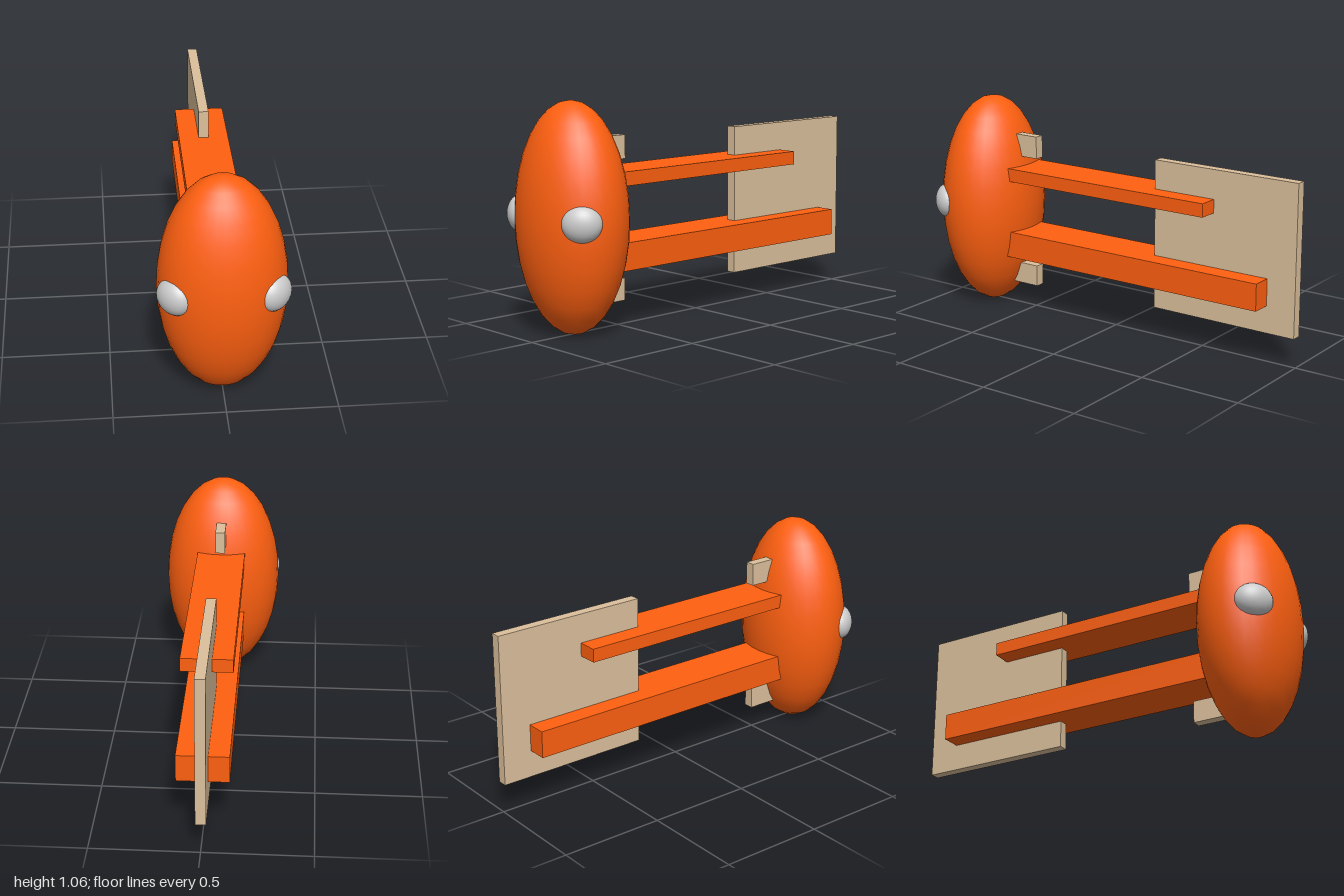
import * as THREE from 'three';

export function createModel() {
  const model = new THREE.Group();
  const orange = new THREE.MeshStandardMaterial({ color: 0xff6010 });
  const tan = new THREE.MeshStandardMaterial({ color: 0xdcc09c });
  const grey = new THREE.MeshStandardMaterial({ color: 0xcccccc });

  function add(name, geometry, material) {
    const mesh = new THREE.Mesh(geometry, material);
    mesh.name = name;
    model.add(mesh);
    return mesh;
  }

  // Box centred on x, given its width and its y and z ranges
  function slab(name, material, width, y0, y1, z0, z1) {
    add(name, new THREE.BoxGeometry(width, y1 - y0, z1 - z0), material)
      .position.set(0, (y0 + y1) / 2, (z0 + z1) / 2);
  }

  // Egg-shaped head
  const head = add('head', new THREE.SphereGeometry(1, 32, 16), orange);
  head.scale.set(0.29, 0.53, 0.235);
  head.position.set(0, 0.535, 0.765);

  // Flattened eyes lying against the head, turned outwards
  for (const side of [1, -1]) {
    const eye = add(side > 0 ? 'leftEye' : 'rightEye', new THREE.SphereGeometry(1, 32, 16), grey);
    eye.scale.set(0.09, 0.084, 0.062);
    eye.position.set(side * 0.217, 0.547, 0.886);
    eye.rotation.y = side * Math.PI / 4;
  }

  // Two beams running back from the head
  slab('upperBeam', orange, 0.24, 0.67, 0.735, -0.565, 0.7);
  slab('lowerBeam', orange, 0.24, 0.28, 0.41, -0.855, 0.7);

  // Thin upright tail panel crossing the beams
  slab('tailPanel', tan, 0.048, 0.15, 0.875, -1, -0.24);

  // Small tabs behind the head
  slab('upperTab', tan, 0.048, 0.78, 0.89, 0.468, 0.7);
  slab('lowerTab', tan, 0.048, 0.12, 0.225, 0.475, 0.7);

  return model;
}
